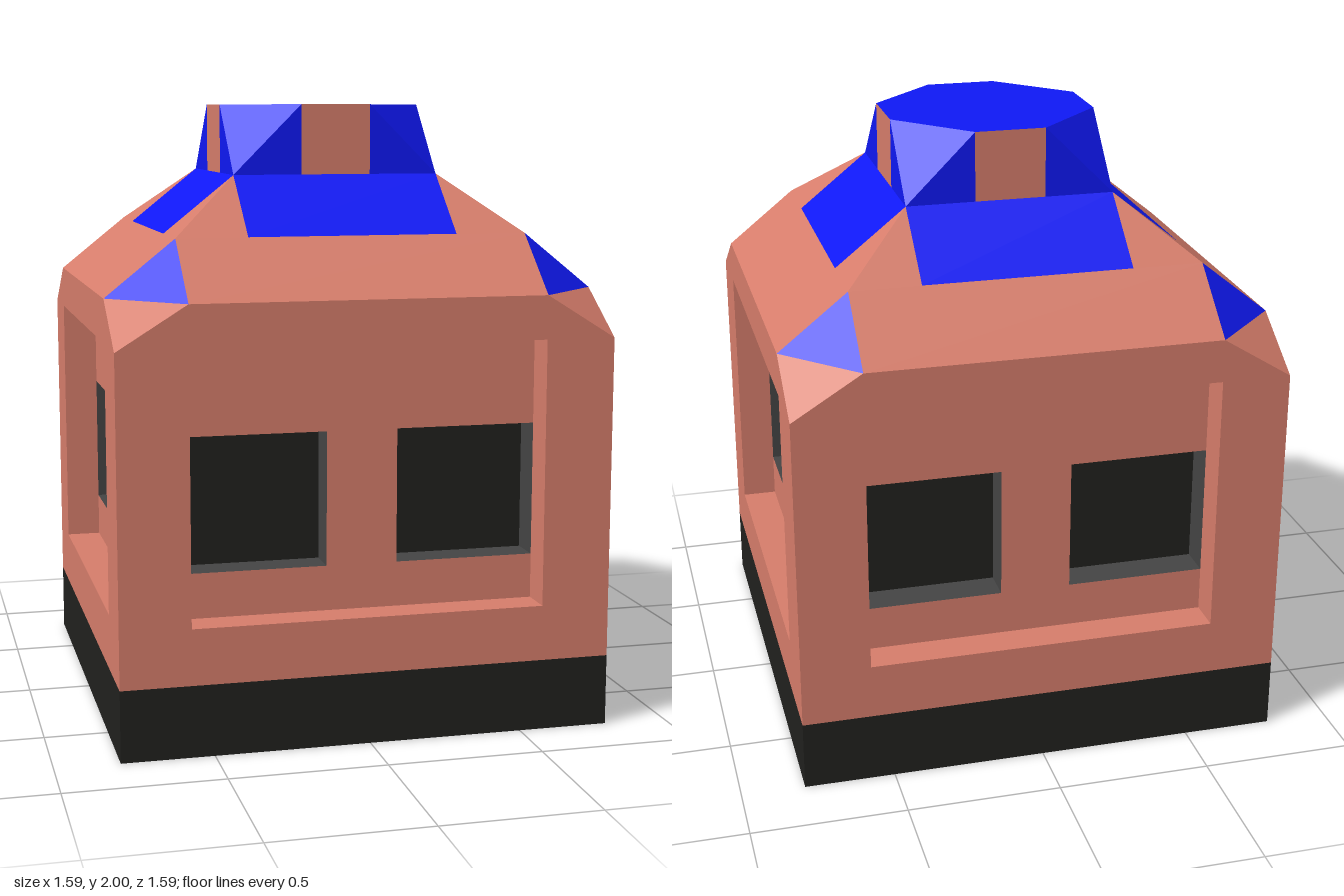
import * as THREE from 'three';

const mat = (color) => new THREE.MeshStandardMaterial({ color, flatShading: true });

// Flat convex polygons (corners counter-clockwise from outside) joined into one mesh
function faces(name, material, polygons) {
  const pos = [];
  for (const p of polygons)
    for (let i = 1; i < p.length - 1; i++) pos.push(...p[0], ...p[i], ...p[i + 1]);
  const g = new THREE.BufferGeometry();
  g.setAttribute('position', new THREE.Float32BufferAttribute(pos, 3));
  g.computeVertexNormals();
  const m = new THREE.Mesh(g, material);
  m.name = name;
  return m;
}

const rect = (x0, y0, x1, y1) => [[x0, y0], [x1, y0], [x1, y1], [x0, y1]];
const toPath = (pts, Type) => new Type(pts.map(([x, y]) => new THREE.Vector2(x, y)));

// Flat sheet facing +z with holes
function sheet(name, material, outline, holes, z) {
  const s = toPath(outline, THREE.Shape);
  s.holes = holes.map((h) => toPath([...h].reverse(), THREE.Path));
  const m = new THREE.Mesh(new THREE.ShapeGeometry(s), material);
  m.position.z = z;
  m.name = name;
  return m;
}

// Inner sides of an opening, running back from zf to zb
const reveal = (name, material, loop, zf, zb) => faces(name, material, loop.map(([x, y], i) => {
  const [u, v] = loop[(i + 1) % loop.length];
  return [[x, y, zf], [u, v, zf], [u, v, zb], [x, y, zb]];
}));

export function createModel() {
  const model = new THREE.Group();
  model.name = 'house';
  const brick = mat(0xd67d6b), blue = mat(0x0f18f5), dark = mat(0x20201e), grey = mat(0x444444);

  const W = 0.795, E = 0.57, C = 0.34, T = 0.115;       // half widths: wall, panel, chimney, chimney panel
  const yBase = 0.23, yCorner = 1.27, yEave = 1.41, yMid = 1.5905, yNeck = 1.775, yTop = 2;
  const zPanel = 0.68, zGlass = 0.57;

  // Base slab
  const base = new THREE.Mesh(new THREE.BoxGeometry(2 * W, yBase, 2 * W), dark);
  base.position.y = yBase / 2;
  base.name = 'base';
  model.add(base);

  const panel = rect(-E, 0.41, E, yCorner);
  const windows = [rect(-E, 0.555, -T, 0.987), rect(T, 0.555, E, 0.987)];

  for (let i = 0; i < 4; i++) {
    const side = new THREE.Group();
    side.name = 'side' + (i + 1);
    side.rotation.y = i * Math.PI / 2;

    // Wall with recessed panel and two deep windows
    side.add(sheet('wall', brick,
      [[-W, yBase], [W, yBase], [W, yCorner], [E, yEave], [-E, yEave], [-W, yCorner]], [panel], W));
    side.add(reveal('panelReveal', brick, panel, W, zPanel));
    side.add(sheet('panel', brick, panel, windows, zPanel));
    for (const w of windows) {
      side.add(reveal('windowReveal', grey, w, zPanel, zGlass));
      side.add(sheet('windowPane', dark, w, [], zGlass));
    }

    // Roof slope with inset blue panel
    side.add(faces('roofSlope', brick, [
      [[-E, yEave, W], [E, yEave, W], [E, yMid, E], [-E, yMid, E]],
      [[C, yMid, E], [E, yMid, E], [C, yNeck, C]],
      [[-E, yMid, E], [-C, yMid, E], [-C, yNeck, C]],
    ]));
    side.add(faces('roofPanel', blue, [
      [[-C, yMid, E], [C, yMid, E], [C, yNeck, C], [-C, yNeck, C]],
    ]));

    // Cut corner: brick below the eave, blue above
    side.add(faces('cornerCut', brick, [[[W, yCorner, W], [W, yEave, E], [E, yEave, W]]]));
    side.add(faces('cornerPanel', blue, [[[E, yEave, W], [W, yEave, E], [E, yMid, E]]]));

    // Chimney side with cut top corner
    side.add(faces('chimneyPanel', brick, [
      [[-T, yNeck, C], [T, yNeck, C], [T, yTop, C], [-T, yTop, C]],
    ]));
    side.add(faces('chimneyCorner', blue, [
      [[T, yNeck, C], [C, yNeck, C], [T, yTop, C]],
      [[-C, yNeck, C], [-T, yNeck, C], [-T, yTop, C]],
      [[C, yNeck, C], [C, yTop, T], [T, yTop, C]],
    ]));
    model.add(side);
  }

  // Octagonal chimney top
  model.add(faces('chimneyTop', blue, [[
    [-T, yTop, C], [T, yTop, C], [C, yTop, T], [C, yTop, -T],
    [T, yTop, -C], [-T, yTop, -C], [-C, yTop, -T], [-C, yTop, T],
  ]]));
  return model;
}
